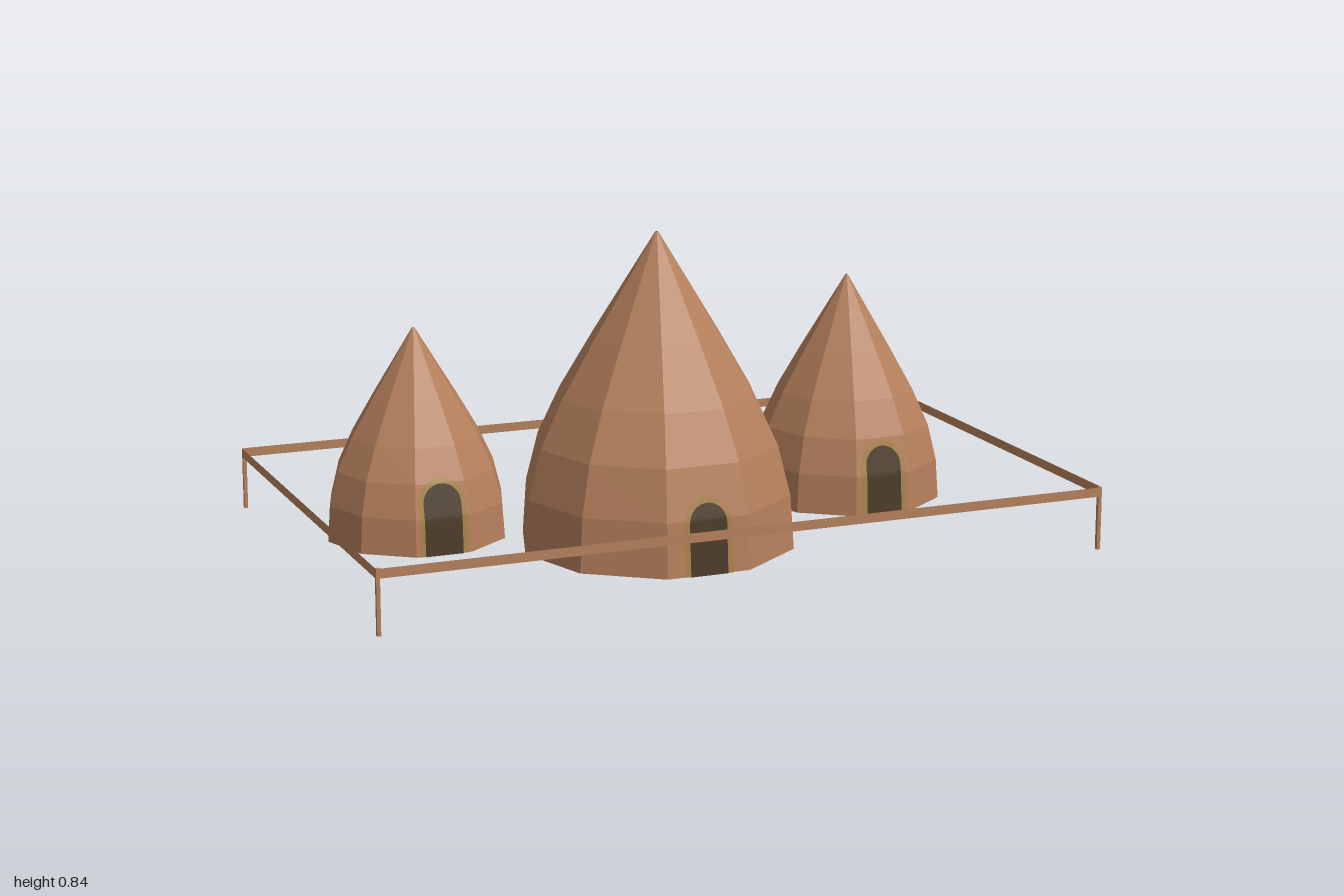
import * as THREE from 'three';

const clay = new THREE.MeshStandardMaterial({ color: 0xb5805c, flatShading: true, side: THREE.DoubleSide });
clay.name = 'clay';
const trim = new THREE.MeshStandardMaterial({ color: 0xa8824a, side: THREE.DoubleSide });
trim.name = 'ochre trim';
const dark = new THREE.MeshStandardMaterial({ color: 0x4a3a26, side: THREE.DoubleSide });
dark.name = 'dark opening';

// Hut outline: radius and height as fractions of the base radius and full height
const PROFILE = [[1, 0], [0.972, 0.174], [0.88, 0.333], [0.715, 0.488], [0.47, 0.672], [0.012, 1]];
const SIDES = 10;

// Distance from the axis to the middle of a flat wall panel at height y
function wallDepth(y, r, h) {
  const t = y / h;
  const i = Math.max(1, PROFILE.findIndex((p) => p[1] >= t));
  const [a, b] = [PROFILE[i - 1], PROFILE[i]];
  const k = (t - a[1]) / (b[1] - a[1]);
  return (a[0] + (b[0] - a[0]) * k) * r * Math.cos(Math.PI / SIDES);
}

// Thin arched plate that follows the slope of the front wall
function archPlate(name, halfWidth, spring, offset, r, h, material) {
  const rows = 32, top = spring + halfWidth;
  const geo = new THREE.PlaneGeometry(1, 1, 1, rows);
  const pos = geo.attributes.position;
  for (let i = 0; i < pos.count; i++) {
    const t = pos.getY(i) + 0.5;
    const y = top * Math.sin(t * Math.PI / 2); // rows crowd toward the crown
    const rise = Math.max(0, y - spring);
    const w = Math.sqrt(Math.max(0, halfWidth ** 2 - rise ** 2));
    pos.setXYZ(i, Math.sign(pos.getX(i)) * w, y, wallDepth(y, r, h) + offset);
  }
  geo.computeVertexNormals();
  const mesh = new THREE.Mesh(geo, material);
  mesh.name = name;
  return mesh;
}

function makeHut(name, x, z, r, h) {
  const hut = new THREE.Group();
  hut.name = name;
  hut.position.set(x, 0, z);

  // Open-bottomed ten-sided shell with corners on the x axis
  const points = PROFILE.map(([pr, py]) => new THREE.Vector2(pr * r, py * h));
  const shell = new THREE.Mesh(new THREE.LatheGeometry(points, SIDES, Math.PI / 2), clay);
  shell.name = 'hutShell';
  hut.add(shell);

  // Doorway and its surround
  hut.add(archPlate('doorFrame', 0.066, 0.137, 0.003, r, h, trim));
  hut.add(archPlate('doorway', 0.052, 0.137, 0.006, r, h, dark));
  return hut;
}

function makeFence() {
  const fence = new THREE.Group();
  fence.name = 'fence';
  const X = 0.995, Z = 0.63, t = 0.01, top = 0.17, railH = 0.025;

  // Corner posts
  for (const sx of [-1, 1]) for (const sz of [-1, 1]) {
    const post = new THREE.Mesh(new THREE.BoxGeometry(t, top, t), clay);
    post.name = 'fencePost';
    post.position.set(sx * X, top / 2, sz * Z);
    fence.add(post);
  }

  // Flat upright rails
  for (const s of [-1, 1]) {
    const long = new THREE.Mesh(new THREE.PlaneGeometry(2 * X + t, railH), clay);
    long.name = 'longRail';
    long.position.set(0, top - railH / 2, s * (Z + t / 2));
    const short = new THREE.Mesh(new THREE.PlaneGeometry(2 * Z + t, railH), clay);
    short.name = 'shortRail';
    short.position.set(s * (X + t / 2), top - railH / 2, 0);
    long.rotation.y = s > 0 ? 0 : Math.PI;
    short.rotation.y = s * Math.PI / 2;
    fence.add(long, short);
  }
  return fence;
}

export function createModel() {
  const model = new THREE.Group();
  model.name = 'hutVillage';
  model.add(
    makeHut('largeHut', -0.055, 0.103, 0.375, 0.84),
    makeHut('leftHut', 0.626, -0.158, 0.27, 0.63),
    makeHut('rightHut', -0.629, -0.212, 0.249, 0.568),
    makeFence()
  );
  return model;
}
